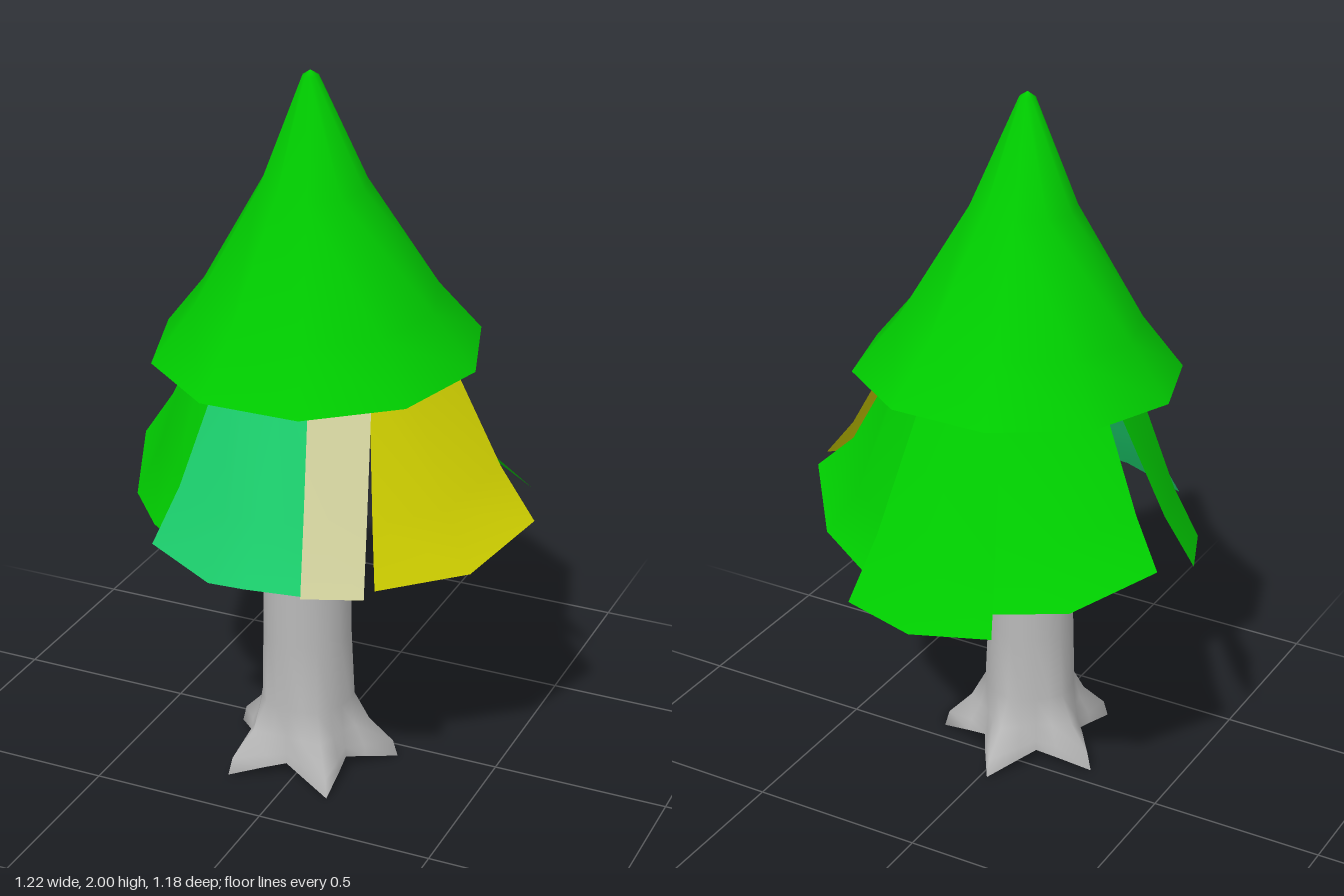
import * as THREE from 'three';
import { mergeVertices } from 'three/addons/utils/BufferGeometryUtils.js';

const paint = (name, color) => {
  const m = new THREE.MeshStandardMaterial({ color, side: THREE.DoubleSide });
  m.name = name;
  return m;
};

// Curved leaf: from a lower edge of [x, y, z], through a bend and an edge of [x, z]
// at the crown's rim, then towards the axis inside the crown.
// bend: how far [inwards, upwards] the bend lies; keep: share of the width kept at the top
function leafSheet(lower, upper, bend = [0.38, 0.31], keep = 0) {
  const pos = [], idx = [], rows = 5, rimY = 1.24, cx = -0.01, cz = 0.04;
  const mix = THREE.MathUtils.lerp;
  const last = upper[upper.length - 1];
  const mx = (upper[0][0] + last[0]) / 2, mz = (upper[0][1] + last[1]) / 2;
  lower.forEach(([x, y, z], i) => {
    const [ux, uz] = upper[i];
    pos.push(x, y, z);
    pos.push(mix(x, ux, bend[0]), mix(y, rimY, bend[1]), mix(z, uz, bend[0]));
    for (const [s, h] of [[1, rimY], [0.65, 1.42], [0.12, 1.68]]) {
      const k = keep * (1 - s);
      pos.push(mix(cx, ux, s) + k * (ux - mx), h, mix(cz, uz, s) + k * (uz - mz));
    }
    for (let r = 0; i > 0 && r < rows - 1; r++) {
      const a = (i - 1) * rows + r, b = a + rows;
      idx.push(a, b, a + 1, a + 1, b, b + 1);
    }
  });
  const g = new THREE.BufferGeometry();
  g.setAttribute('position', new THREE.Float32BufferAttribute(pos, 3));
  g.setIndex(idx);
  g.computeVertexNormals();
  return g;
}

// Tube whose lowest rings swell into five pointed roots
function trunkGeometry() {
  // [height, valley radius, root reach, valley lift]
  const rings = [
    [0, 0.145, 0.112, 0.04], [0.05, 0.143, 0.1, 0.02], [0.12, 0.135, 0.04, 0],
    [0.2, 0.128, 0.005, 0], [0.4, 0.124, 0, 0], [0.98, 0.118, 0, 0],
  ];
  let g = new THREE.LatheGeometry(rings.map(([y, r]) => new THREE.Vector2(r, y)), 20);
  const p = g.attributes.position;
  for (let i = 0; i < p.count; i++) {
    const [y, r, reach, lift] = rings[i % rings.length];
    const a = Math.atan2(p.getX(i), p.getZ(i));
    const w = Math.max(0, (1 + Math.cos(5 * (a - Math.PI))) / 2) ** 1.7;
    const radius = r + reach * w;
    p.setXYZ(i, Math.sin(a) * radius, y + lift * (1 - w), Math.cos(a) * radius);
  }
  g.deleteAttribute('normal');
  g.deleteAttribute('uv');
  g = mergeVertices(g, 1e-4);
  g.computeVertexNormals();
  return g;
}

export function createModel() {
  const tree = new THREE.Group();
  tree.name = 'tree';
  const green = paint('leaf green', 0x00cc00);
  const teal = paint('teal', 0x1bcc6b);
  const yellow = paint('yellow', 0xcccc00);
  const beige = paint('beige', 0xcccc99);
  const grey = paint('bark grey', 0xb8b8b8);

  const add = (name, geometry, material) => {
    const mesh = new THREE.Mesh(geometry, material);
    mesh.name = name;
    tree.add(mesh);
    return mesh;
  };

  // Trunk with roots
  add('trunk', trunkGeometry(), grey).position.set(-0.02, 0, 0.137);

  // Crown: ten-sided flared cone, leaning slightly forward
  const profile = [[0.453, 0], [0.335, 0.147], [0.145, 0.467], [0.022, 0.762], [0.001, 0.776]]
    .map(([r, y]) => new THREE.Vector2(r, y));
  const crown = add('crown', new THREE.LatheGeometry(profile, 10, Math.PI / 2), green);
  crown.position.set(-0.02, 1.225, 0.06);
  crown.rotation.x = 0.056;

  // Separate lower leaves around the skirt
  add('frontLeaf', leafSheet(
    [[-0.33, 0.745, 0.455], [-0.105, 0.73, 0.57], [0, 0.735, 0.572], [0.165, 0.74, 0.556]],
    [[-0.19, 0.285], [-0.08, 0.33], [0, 0.335], [0.095, 0.32]]), teal);
  add('narrowLeaf', leafSheet(
    [[0.168, 0.75, 0.587], [0.323, 0.755, 0.535]],
    [[0.078, 0.335], [0.235, 0.285]], [0.4, 0.36], 0.8), beige);
  add('leftFrontLeaf', leafSheet(
    [[0.31, 0.73, 0.435], [0.515, 0.75, 0.28], [0.607, 0.82, 0.05]],
    [[0.225, 0.28], [0.29, 0.17], [0.325, -0.01]]), yellow);
  add('leftBackLeaf', leafSheet(
    [[0.552, 0.85, -0.08], [0.375, 0.79, -0.31], [0.14, 0.755, -0.44]],
    [[0.305, 0.01], [0.22, -0.15], [0.06, -0.22]], [0.4, 0.24]), green);
  add('backLeaf', leafSheet(
    [[0.16, 0.745, -0.54], [-0.055, 0.735, -0.59], [-0.27, 0.75, -0.53]],
    [[0.1, -0.245], [-0.03, -0.265], [-0.14, -0.25]]), green);
  add('rightBackLeaf', leafSheet(
    [[-0.215, 0.785, -0.482], [-0.43, 0.81, -0.405], [-0.577, 0.87, -0.195]],
    [[-0.08, -0.22], [-0.23, -0.16], [-0.33, -0.04]]), green);
  add('rightFrontLeaf', leafSheet(
    [[-0.61, 0.82, -0.04], [-0.5, 0.76, 0.22], [-0.39, 0.735, 0.33], [-0.27, 0.735, 0.42]],
    [[-0.38, -0.055], [-0.34, 0.13], [-0.27, 0.21], [-0.18, 0.27]]), green);

  return tree;
}
